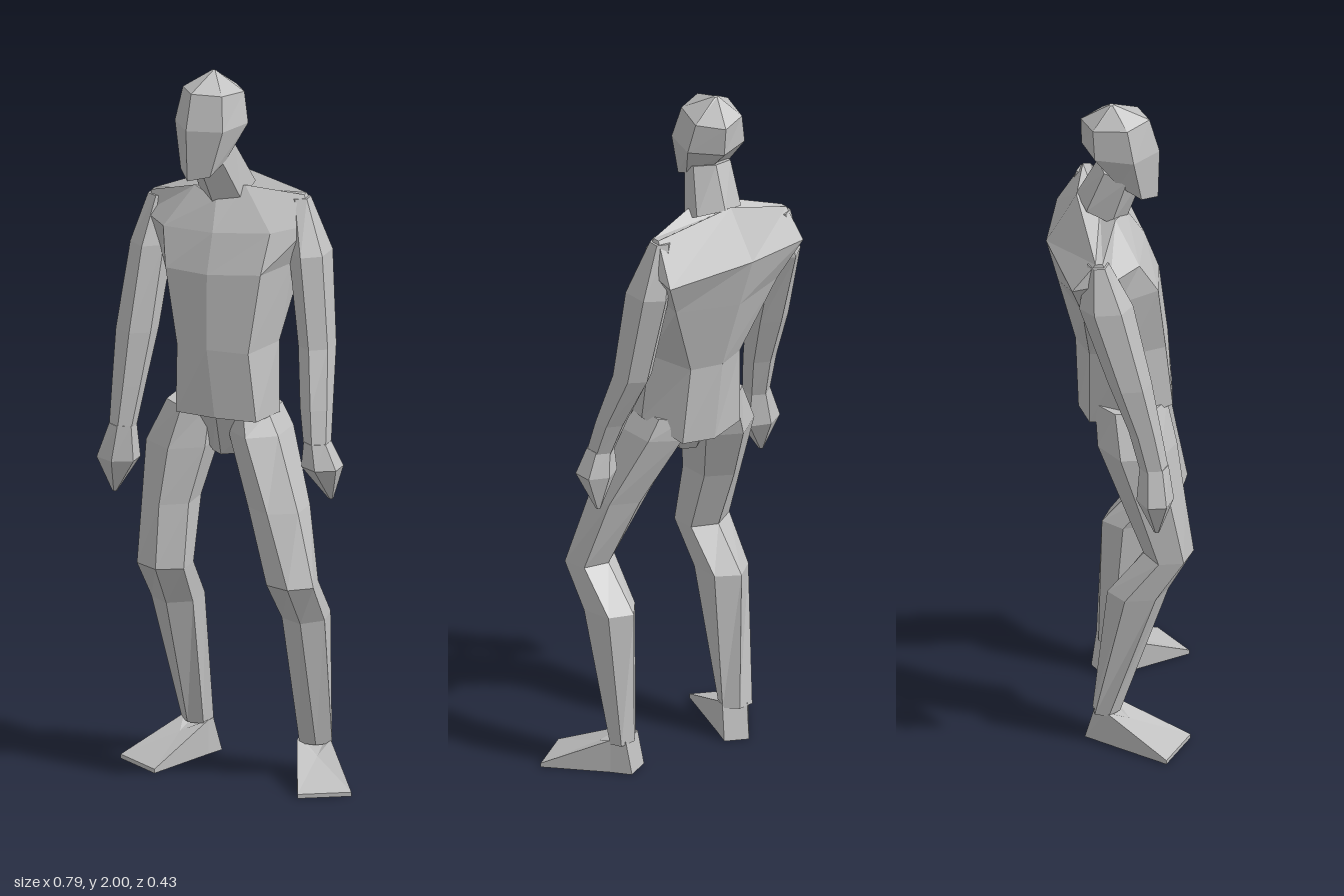
import * as THREE from 'three';

const skin = new THREE.MeshStandardMaterial({ color: 0xc0c0c0, flatShading: true });
skin.name = 'plain grey';

// Six-sided cross-section: centre, half width, half depth, turn, and rise per unit towards the front
function ring([x, y, z, rx, rz, yaw = 0, tilt = 0]) {
  const pts = [];
  for (let i = 0; i < 6; i++) {
    const a = (i * Math.PI) / 3;
    const lx = (rx * Math.sin(a)) / 0.866, lz = rz * Math.cos(a);
    pts.push([
      x + lx * Math.cos(yaw) + lz * Math.sin(yaw),
      y + tilt * lz,
      z - lx * Math.sin(yaw) + lz * Math.cos(yaw),
    ]);
  }
  return pts;
}

// Skin a stack of equal-sized rings, listed bottom to top, and close both ends
function loft(name, rings) {
  const n = rings[0].length, pos = [];
  const tri = (a, b, c) => pos.push(...a, ...b, ...c);
  const middle = (r) => [0, 1, 2].map((k) => r.reduce((s, p) => s + p[k], 0) / n);
  const first = rings[0], last = rings[rings.length - 1];
  const low = middle(first), high = middle(last);
  for (let i = 0; i < n; i++) {
    const j = (i + 1) % n;
    for (let k = 0; k < rings.length - 1; k++) {
      const a = rings[k], b = rings[k + 1];
      tri(a[i], a[j], b[j]);
      tri(a[i], b[j], b[i]);
    }
    tri(low, first[j], first[i]);
    tri(high, last[i], last[j]);
  }
  const geo = new THREE.BufferGeometry();
  geo.setAttribute('position', new THREE.Float32BufferAttribute(pos, 3));
  geo.computeVertexNormals();
  const mesh = new THREE.Mesh(geo, skin);
  mesh.name = name;
  return mesh;
}

const limb = (name, rows) => loft(name, rows.map(ring));

// Wedge foot: toe edge, ankle sides and heel, from the model's right to left
function foot(name, toeR, toeL, ankleL, heelL, heelR, ankleR, topHeel) {
  const plan = [toeR, toeL, ankleL, heelL, heelR, ankleR];
  const heights = [0.012, 0.012, 0.1, 0.1, 0.1, 0.1];
  const sole = plan.map(([x, z]) => [x, 0, z]);
  const top = plan.map(([x, z], i) => {
    const heel = i === 3 || i === 4;
    return [x + (heel ? topHeel[0] : 0), heights[i], z + (heel ? topHeel[1] : 0)];
  });
  return loft(name, [sole, top]);
}

export function createModel() {
  const g = new THREE.Group();
  g.name = 'standingFigure';

  // Torso: each row runs front, left, back, right
  g.add(loft('torso', [
    [[-0.02, 1.05, 0.14], [0.1, 1.05, 0.13], [0.125, 1.05, 0.02], [0.08, 1.0, -0.1],
      [-0.02, 0.99, -0.12], [-0.13, 1.0, -0.1], [-0.19, 1.04, 0.01], [-0.14, 1.05, 0.13]],
    [[-0.05, 1.24, 0.125], [0.07, 1.24, 0.115], [0.115, 1.25, 0], [0.05, 1.22, -0.1],
      [-0.04, 1.22, -0.13], [-0.13, 1.22, -0.1], [-0.18, 1.24, 0], [-0.145, 1.24, 0.11]],
    [[-0.06, 1.45, 0.1], [0.09, 1.46, 0.075], [0.14, 1.47, -0.04], [0.13, 1.44, -0.13],
      [-0.06, 1.42, -0.18], [-0.24, 1.42, -0.13], [-0.25, 1.45, -0.03], [-0.19, 1.45, 0.085]],
    [[-0.06, 1.56, 0.06], [0.1, 1.57, 0.03], [0.19, 1.58, -0.06], [0.178, 1.54, -0.16],
      [-0.076, 1.56, -0.215], [-0.305, 1.53, -0.165], [-0.31, 1.55, -0.06], [-0.22, 1.55, 0.03]],
    [[-0.07, 1.64, 0.01], [0, 1.68, -0.03], [0.16, 1.66, -0.07], [0.16, 1.66, -0.09],
      [-0.07, 1.7, -0.13], [-0.3, 1.61, -0.1], [-0.3, 1.61, -0.08], [-0.15, 1.66, -0.03]],
  ]));

  // Pelvis wedge between the legs
  g.add(limb('pelvis', [
    [-0.03, 0.92, 0.02, 0.035, 0.05],
    [-0.025, 1.05, 0.01, 0.12, 0.11],
  ]));

  // Neck and head, turned a little to the right
  g.add(limb('neck', [
    [-0.065, 1.66, -0.06, 0.07, 0.07, -0.2, -0.5],
    [-0.09, 1.79, -0.01, 0.055, 0.065, -0.35, -0.3],
  ]));
  g.add(limb('head', [
    [-0.1, 1.745, 0.03, 0.055, 0.065, -0.35, -0.5],
    [-0.092, 1.86, -0.01, 0.086, 0.11, -0.3, 0],
    [-0.092, 1.95, -0.025, 0.07, 0.097, -0.3, 0.1],
    [-0.097, 2.0, -0.036, 0.006, 0.006],
  ]));

  // Arms and hands
  g.add(limb('leftArm', [
    [0.25, 0.98, 0.05, 0.033, 0.04],
    [0.235, 1.08, 0.02, 0.04, 0.045],
    [0.212, 1.24, -0.04, 0.044, 0.062],
    [0.18, 1.5, -0.07, 0.05, 0.075],
    [0.14, 1.65, -0.08, 0.03, 0.03],
  ]));
  g.add(limb('leftHand', [
    [0.28, 0.82, 0.025, 0.006, 0.008],
    [0.265, 0.92, 0.05, 0.052, 0.055],
    [0.25, 0.99, 0.05, 0.033, 0.04],
  ]));
  g.add(limb('rightArm', [
    [-0.328, 0.96, 0.06, 0.033, 0.04],
    [-0.32, 1.08, 0.035, 0.042, 0.045],
    [-0.312, 1.23, -0.005, 0.052, 0.06],
    [-0.295, 1.47, -0.07, 0.05, 0.075],
    [-0.28, 1.6, -0.09, 0.03, 0.03],
  ]));
  g.add(limb('rightHand', [
    [-0.35, 0.77, 0.065, 0.006, 0.008],
    [-0.34, 0.87, 0.062, 0.055, 0.052],
    [-0.328, 0.97, 0.06, 0.033, 0.04],
  ]));

  // Legs, with the knees bent forwards
  g.add(limb('leftLeg', [
    [0.22, 0.09, -0.01, 0.045, 0.035, 0.4],
    [0.217, 0.48, 0.05, 0.06, 0.085, 0.2],
    [0.213, 0.6, 0.14, 0.066, 0.068, 0.2],
    [0.15, 0.8, 0.085, 0.075, 0.085],
    [0.07, 1.0, 0.025, 0.075, 0.11],
    [0.055, 1.06, 0.015, 0.055, 0.1],
  ]));
  g.add(limb('rightLeg', [
    [-0.152, 0.09, -0.055, 0.043, 0.04, -0.4],
    [-0.175, 0.48, 0.03, 0.062, 0.085],
    [-0.178, 0.6, 0.115, 0.07, 0.07],
    [-0.178, 0.78, 0.07, 0.07, 0.09],
    [-0.16, 0.94, 0.03, 0.088, 0.11],
    [-0.13, 1.06, 0.015, 0.065, 0.1],
  ]));

  // Feet, splayed outwards
  g.add(foot('leftFoot', [0.26, 0.215], [0.39, 0.14], [0.265, -0.01], [0.23, -0.06],
    [0.16, -0.03], [0.18, 0.03], [0.01, 0.015]));
  g.add(foot('rightFoot', [-0.32, 0.095], [-0.185, 0.175], [-0.11, -0.03], [-0.09, -0.08],
    [-0.15, -0.115], [-0.195, -0.06], [-0.015, 0.025]));
  return g;
}
